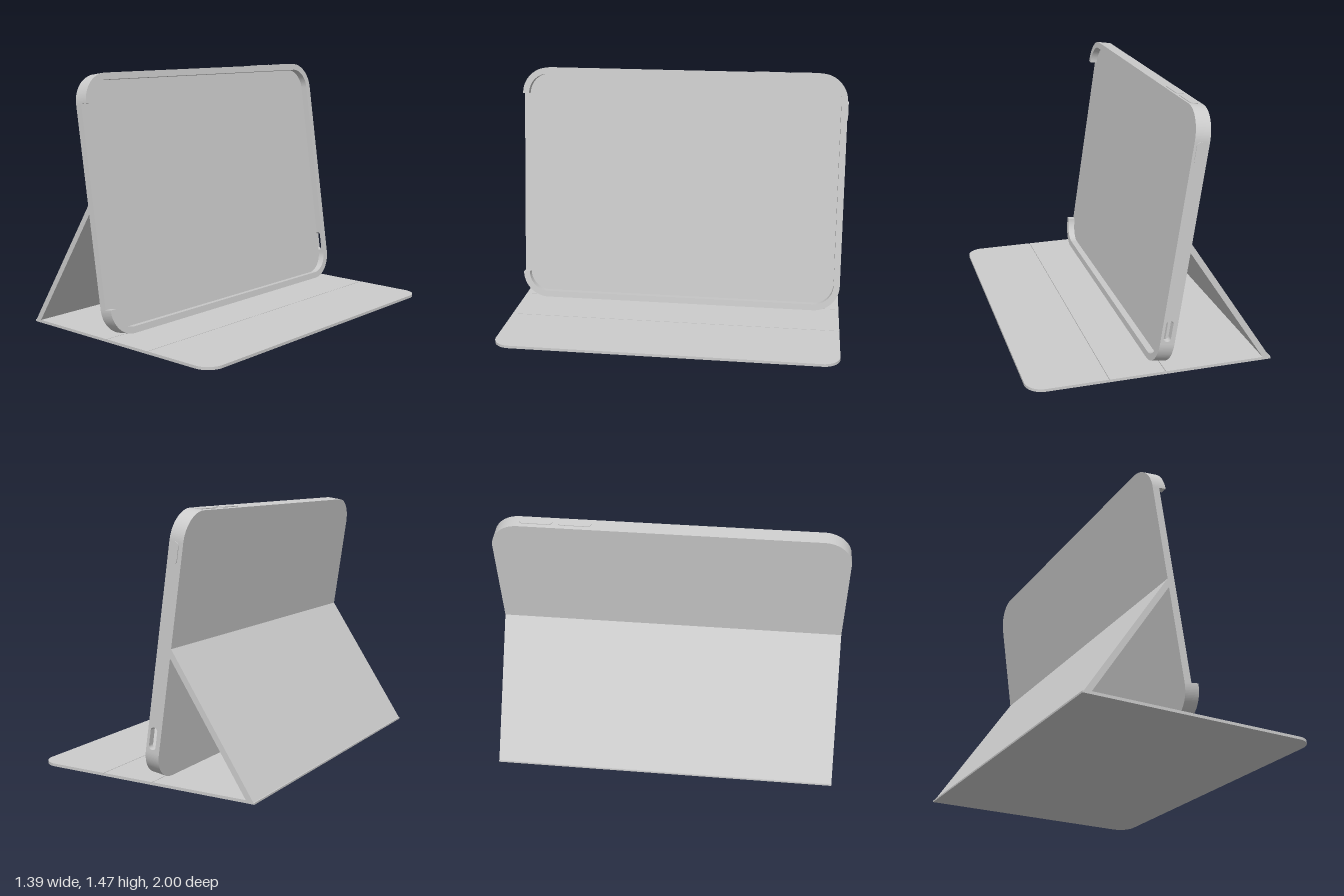
import * as THREE from 'three';

const W = 0.997;    // half width
const H = 1.453;    // case height
const D = 0.084;    // case depth
const T = 0.038;    // rim thickness
const R = 0.16;     // outer corner radius
const PANEL = 0.042; // back panel depth
const BASE = 0.016;

const material = new THREE.MeshStandardMaterial({ color: 0xcccccc });

function extrude(shape, depth) {
  return new THREE.ExtrudeGeometry(shape, { depth, bevelEnabled: false, curveSegments: 16 });
}

function add(parent, name, geometry, x = 0, y = 0, z = 0) {
  const mesh = new THREE.Mesh(geometry, material);
  mesh.name = name;
  mesh.position.set(x, y, z);
  parent.add(mesh);
  return mesh;
}

// Rectangle with separate corner radii on its left and right sides
function roundedRect(x0, y0, x1, y1, rl, rr, S = THREE.Shape) {
  const s = new S();
  const q = Math.PI / 2;
  s.moveTo(x0 + rl, y0);
  s.lineTo(x1 - rr, y0);
  if (rr) s.absarc(x1 - rr, y0 + rr, rr, -q, 0);
  s.lineTo(x1, y1 - rr);
  if (rr) s.absarc(x1 - rr, y1 - rr, rr, 0, q);
  s.lineTo(x0 + rl, y1);
  if (rl) s.absarc(x0 + rl, y1 - rl, rl, q, 2 * q);
  s.lineTo(x0, y0 + rl);
  if (rl) s.absarc(x0 + rl, y0 + rl, rl, 2 * q, 3 * q);
  return s;
}

const pill = (w, l, S) => roundedRect(-w / 2, -l / 2, w / 2, l / 2, w / 2 - 0.001, w / 2 - 0.001, S);

// Long rim edge with its two rounded corners
function rimShape() {
  const s = new THREE.Shape();
  const c = W - R, q = Math.PI / 2;
  s.moveTo(-W, R);
  s.absarc(-c, R, R, 2 * q, 3 * q);
  s.lineTo(c, 0);
  s.absarc(c, R, R, -q, 0);
  s.lineTo(W - T, R);
  s.absarc(c, R, R - T, 0, -q, true);
  s.lineTo(-c, T);
  s.absarc(-c, R, R - T, 3 * q, 2 * q, true);
  s.closePath();
  return s;
}

function createCase() {
  const tray = new THREE.Group();
  tray.name = 'tabletCase';

  // Back panel, reaching the outer edge on the open side
  const inner = roundedRect(-W + T, T, W - T, H - T, R - T, R - T);
  add(tray, 'backPanel', extrude(inner, PANEL).rotateY(Math.PI / 2));
  add(tray, 'openSideEdge', new THREE.BoxGeometry(PANEL, H - 2 * R, T), PANEL / 2, H / 2, W - T / 2);

  // Bottom and top rims
  const rim = extrude(rimShape(), D).rotateY(Math.PI / 2);
  add(tray, 'bottomRim', rim);
  add(tray, 'topRim', rim, 0, H, 0).rotation.x = Math.PI;

  // Closed side wall with a slot
  const wall = roundedRect(0, R, D, H - R, 0, 0);
  const slot = pill(0.042, 0.125, THREE.Path);
  wall.holes.push(new THREE.Path(slot.getPoints(12).map(p => p.add(new THREE.Vector2(0.047, 0.235)))));
  add(tray, 'sideWall', extrude(wall, T), 0, 0, -W);

  // Buttons on the top and side
  for (const z of [-0.525, -0.74]) {
    add(tray, 'topButton', extrude(pill(0.045, 0.185), 0.012).rotateX(Math.PI / 2), 0.047, H + 0.004, z);
  }
  add(tray, 'sideButton', extrude(pill(0.045, 0.115), 0.012), 0.047, 1.235, -W - 0.005);

  tray.position.set(-0.095, BASE, 0);
  tray.rotation.z = THREE.MathUtils.degToRad(8.3);
  return tray;
}

function createCover() {
  const cover = new THREE.Group();
  cover.name = 'foldingCover';

  // Base sheet, with upper panels parted by thin fold grooves
  const x0 = -0.695, x1 = 0.695, gap = 0.004, lower = 0.01;
  const flat = (a, b, r, h) => extrude(roundedRect(a, -W, b, W, 0, r), h).rotateX(-Math.PI / 2);
  add(cover, 'baseSheet', flat(x0, x1, 0.1, lower));
  const folds = [x0 + 0.03, -0.07, 0.25, x1];
  for (let i = 0; i < 3; i++) {
    const last = i === 2;
    add(cover, 'basePanel', flat(folds[i], folds[i + 1] - (last ? 0 : gap), last ? 0.1 : 0, BASE - lower), 0, lower, 0);
  }

  // Sloping flap that props up the case
  const flap = new THREE.Shape([
    [x0, 0], [-0.645, 0], [-0.645, BASE], [-0.194, 0.7], [-0.2, 0.75],
  ].map(p => new THREE.Vector2(...p)));
  add(cover, 'supportFlap', extrude(flap, 2 * W), 0, 0, -W);
  return cover;
}

export function createModel() {
  const model = new THREE.Group();
  model.name = 'tabletCaseWithStand';
  const body = new THREE.Group();
  body.name = 'caseAndCover';
  body.add(createCover(), createCase());
  body.position.z = 0.003;
  model.add(body);
  return model;
}
